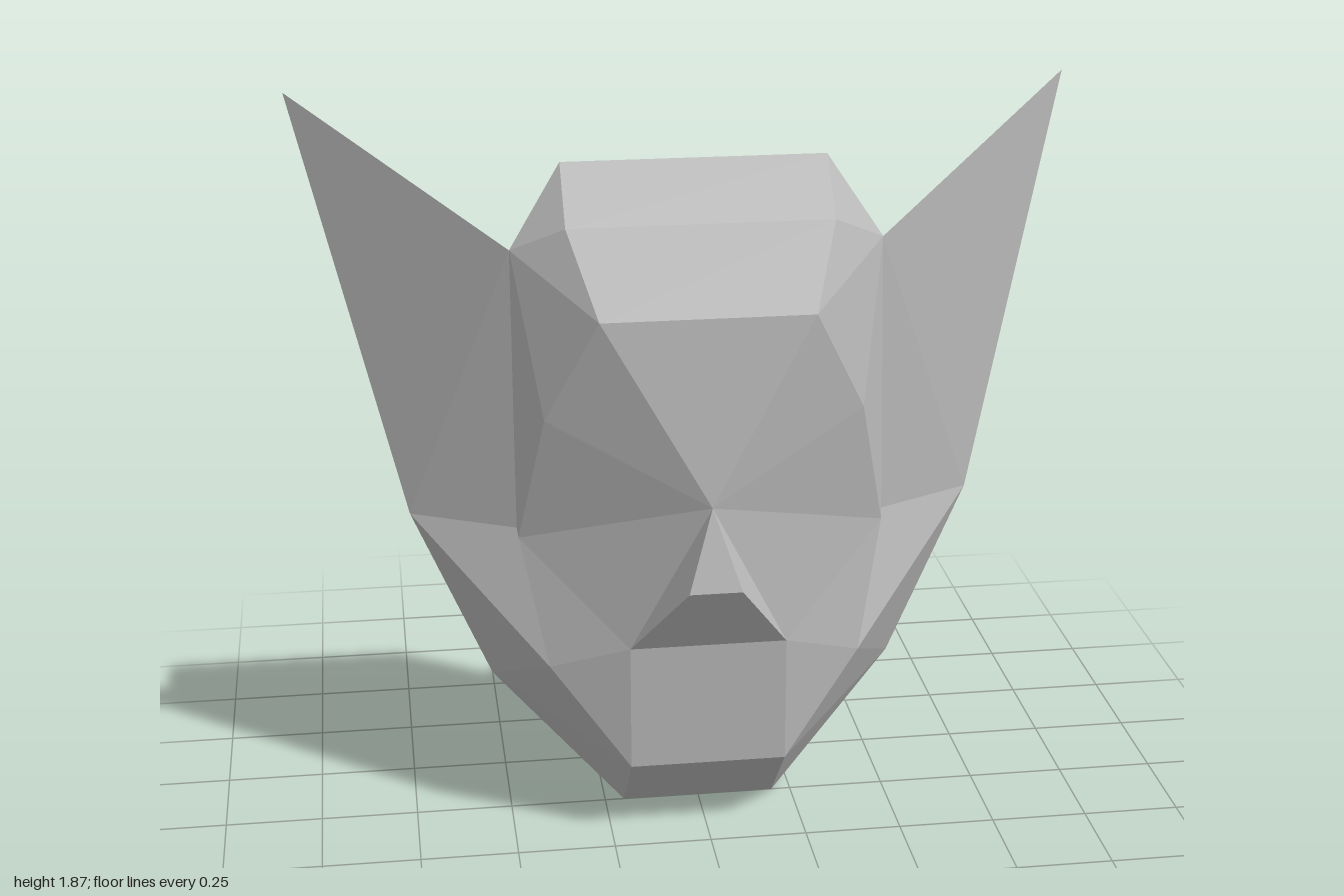
import * as THREE from 'three';

// Corner points of the left half, in fifteenths of a unit
const corners = {
  A: [15, 28, -5], // ear tip
  B: [7, 23, 0],   // temple
  C: [5, 26, -1],  // crown
  D: [5, 24, 1],   // upper forehead
  E: [4, 21, 3],   // brow
  F: [0, 14, 4],   // nose bridge
  G: [3, 8, 3],    // nose base
  H: [1, 11, 5],   // nose tip
  I: [3, 3, 3],    // chin front
  J: [3, 0, 0],    // chin bottom
  K: [6, 7, 2],    // cheek
  L: [7, 12, 1],   // outer eye, lower
  M: [6, 17, 2],   // outer eye, upper
  N: [8, 5, -2],   // jaw
  O: [11, 12, -2], // ear base, outer
  Q: [7, 12, 0],   // ear base, inner
  R: [8, 14, -2],  // ear base, back
};

// Upper-case letters are left corners, lower-case ones their mirror images
function corner(letter) {
  const [x, y, z] = corners[letter.toUpperCase()];
  const side = letter === letter.toUpperCase() ? 1 : -1;
  return [side * x / 15, y / 15, z / 15];
}

const mirrorFace = (face) => [...face.toLowerCase()].reverse().join('');

// Faceted shell from faces spelled as corner letters, counter-clockwise
function makeShell(name, faces, material) {
  const positions = [];
  for (const face of faces) {
    for (let i = 1; i < face.length - 1; i++) {
      for (const letter of [face[0], face[i], face[i + 1]]) positions.push(...corner(letter));
    }
  }
  const geometry = new THREE.BufferGeometry();
  geometry.setAttribute('position', new THREE.Float32BufferAttribute(positions, 3));
  geometry.computeVertexNormals();
  const mesh = new THREE.Mesh(geometry, material);
  mesh.name = name;
  return mesh;
}

export function createModel() {
  const group = new THREE.Group();
  group.name = 'mask';
  const grey = new THREE.MeshStandardMaterial({
    name: 'grey', color: 0xb8b8b8, flatShading: true, side: THREE.DoubleSide,
  });

  // Parts across the middle, then their left-side faces to be mirrored
  const middle = {
    forehead: [['CcdD', 'DdeE', 'EeF'], ['CDB', 'DEB', 'EMB']],
    nose: [['FhH', 'HhgG'], ['FHG']],
    mouth: [['GgiI'], ['GIK']],
    chin: [['IijJ'], ['IJN', 'INK']],
  };
  for (const [name, [centre, side]] of Object.entries(middle)) {
    group.add(makeShell(name, [...centre, ...side, ...side.map(mirrorFace)], grey));
  }

  // Paired parts
  const paired = {
    Cheek: ['EFM', 'FLM', 'FGL', 'GKL'],
    Temple: ['BML', 'BLQ', 'LKQ'],
    Jaw: ['KNO', 'KOQ', 'ONR'],
    Ear: ['BQO', 'BOA', 'ARB', 'AOR'],
  };
  for (const [name, faces] of Object.entries(paired)) {
    group.add(makeShell('left' + name, faces, grey));
    group.add(makeShell('right' + name, faces.map(mirrorFace), grey));
  }
  return group;
}
